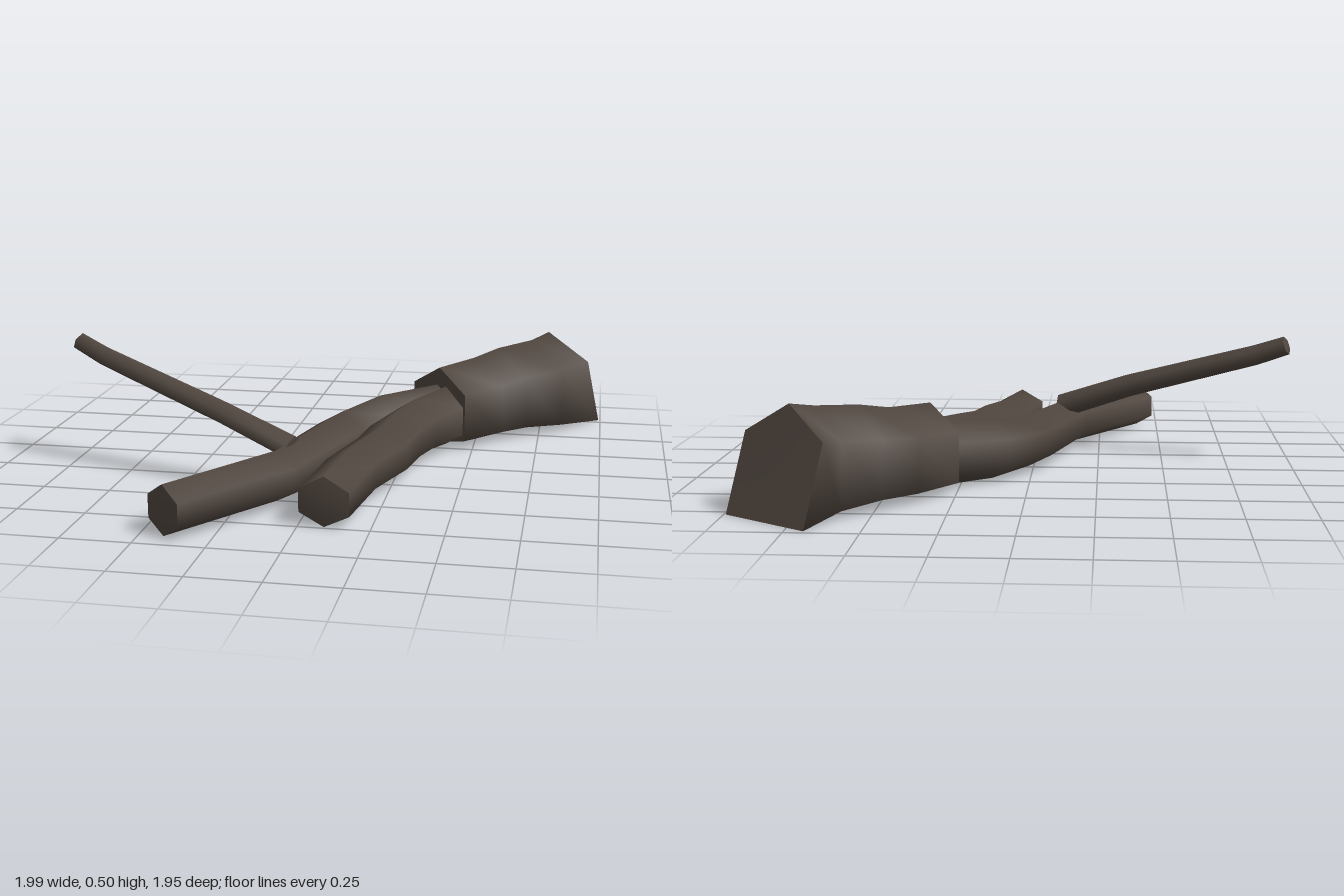
import * as THREE from 'three';

const V = (x, y, z) => new THREE.Vector3(x, y, z);
const UP = V(0, 1, 0);

// Six-sided loft. Ring: { c: centre, w: half width, h: height, low, dir, shift }
function limb(name, rings, bulge, material) {
  const pos = [], idx = [], n = 6, last = rings.length - 1;
  const loops = rings.map((r, i) => {
    const prev = rings[Math.max(i - 1, 0)].c, next = rings[Math.min(i + 1, last)].c;
    const dir = (r.dir || next.clone().sub(prev)).clone().normalize();
    const side = UP.clone().cross(dir).normalize();
    const up = dir.clone().cross(side);
    const low = r.low ?? 0.25;
    const outline = [[1, 0.72], [0, 1], [-1, 0.72], [-1, low], [0, 0], [1, low]];
    const pts = outline.map(([a, b], j) => r.c.clone()
      .addScaledVector(side, a * r.w)
      .addScaledVector(up, (b - 0.5) * r.h)
      .addScaledVector(dir, r.shift ? r.shift[j] : 0));
    return { pts, dir };
  });
  const addLoop = pts => {
    const start = pos.length / 3;
    pts.forEach(p => pos.push(p.x, p.y, p.z));
    return start;
  };
  // bark
  loops.forEach(l => addLoop(l.pts));
  for (let i = 0; i < last; i++) {
    for (let j = 0; j < n; j++) {
      const k = (j + 1) % n, a = i * n, b = a + n;
      idx.push(a + j, a + k, b + k, a + j, b + k, b + j);
    }
  }
  // cut ends
  [[loops[0], -1, bulge[0]], [loops[last], 1, bulge[1]]].forEach(([l, sign, out]) => {
    const s = addLoop(l.pts);
    const mid = l.pts.reduce((m, p) => m.add(p), V(0, 0, 0)).divideScalar(n);
    const m = addLoop([mid.addScaledVector(l.dir, sign * out)]);
    for (let j = 0; j < n; j++) {
      const k = (j + 1) % n;
      if (sign > 0) idx.push(m, s + j, s + k);
      else idx.push(m, s + k, s + j);
    }
  });
  const g = new THREE.BufferGeometry();
  g.setAttribute('position', new THREE.Float32BufferAttribute(pos, 3));
  g.setIndex(idx);
  g.computeVertexNormals();
  const mesh = new THREE.Mesh(g, material);
  mesh.name = name;
  return mesh;
}

// Ring lying on the ground
const ground = (x, z, w, top, extra = {}) => ({ c: V(x, top / 2, z), w, h: top, ...extra });

export function createModel() {
  const group = new THREE.Group();
  group.name = 'fallenBranch';
  const bark = new THREE.MeshStandardMaterial({ color: 0x50463f });
  bark.name = 'darkBark';

  // thick trunk with a slanted broken end
  const low = 0.12;
  group.add(limb('trunk', [
    ground(0.355, -0.335, 0.152, 0.31, { low, dir: V(0.66, 0, -0.75) }),
    ground(0.485, -0.5, 0.165, 0.32, { low }),
    ground(0.58, -0.59, 0.172, 0.345, { low }),
    ground(0.71, -0.7, 0.178, 0.36, { low: 0.08 }),
    ground(0.78, -0.79, 0.182, 0.38,
      { low: 0, dir: V(0.54, 0, -0.84), shift: [0.01, -0.02, 0.01, 0.11, 0.11, 0.11] }),
  ], [0, 0], bark));

  // two forking branches
  group.add(limb('longBranch', [
    ground(0.37, -0.36, 0.1, 0.24),
    ground(0.14, -0.19, 0.1, 0.222),
    ground(0.02, 0.02, 0.097, 0.205),
    ground(-0.125, 0.5, 0.086, 0.187),
    ground(-0.415, 0.92, 0.078, 0.18),
  ], [0, 0.015], bark));
  group.add(limb('shortBranch', [
    ground(0.385, -0.31, 0.1, 0.24),
    ground(0.285, -0.13, 0.1, 0.23),
    ground(0.23, 0.03, 0.1, 0.213),
    ground(0.205, 0.19, 0.098, 0.205),
    ground(0.13, 0.43, 0.092, 0.192),
    ground(0.09, 0.74, 0.09, 0.18),
  ], [0, 0.015], bark));

  // thin raised twig
  group.add(limb('twig', [
    { c: V(-0.095, 0.17, 0.4), w: 0.05, h: 0.095 },
    { c: V(-0.37, 0.27, 0.33), w: 0.042, h: 0.088 },
    { c: V(-0.86, 0.42, 0.175), w: 0.036, h: 0.078 },
    { c: V(-0.975, 0.465, 0.13), w: 0.034, h: 0.072 },
  ], [0.01, 0.008], bark));

  return group;
}
